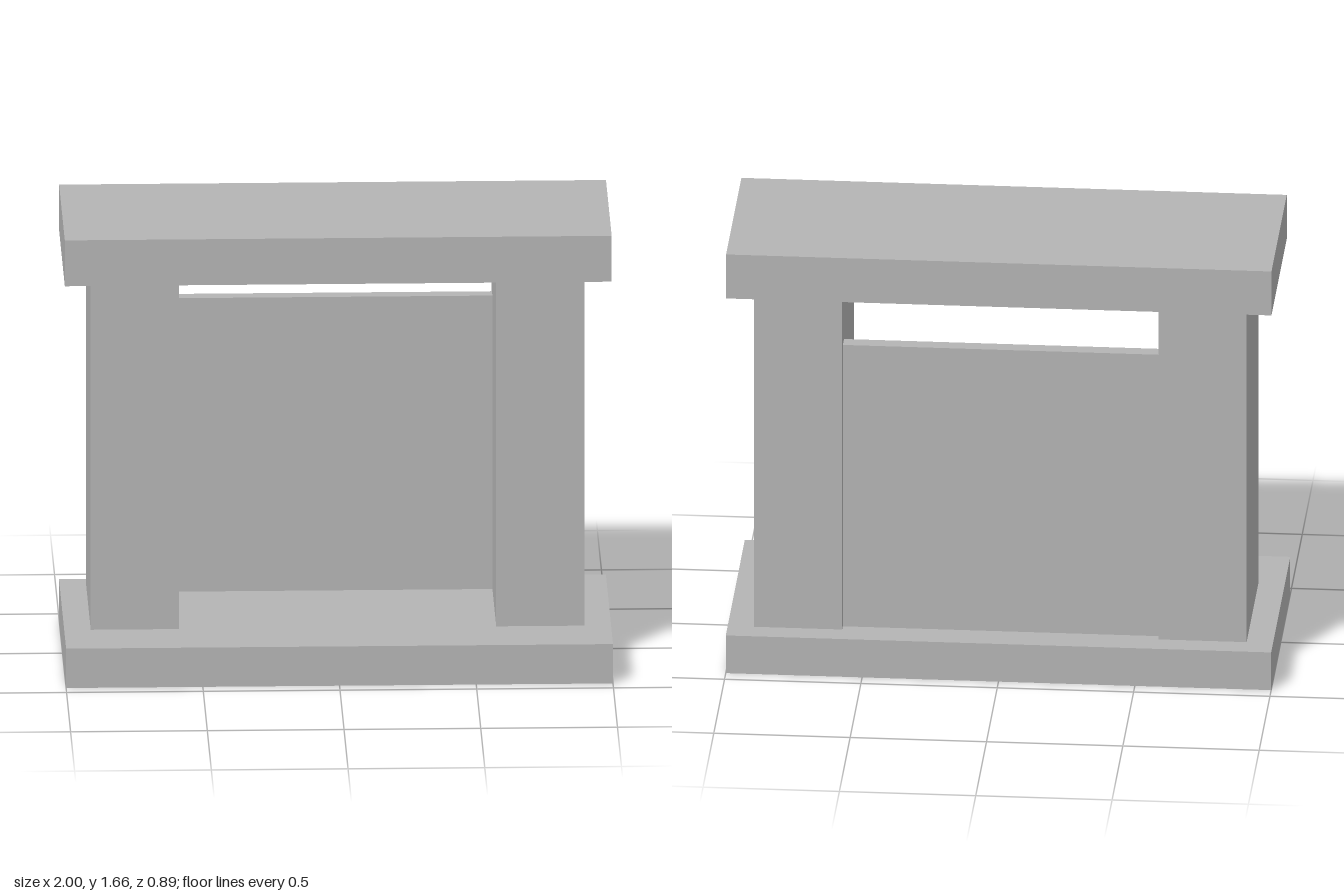
import * as THREE from 'three';

export function createModel() {
  const model = new THREE.Group();
  model.name = 'fireplaceSurround';
  const stone = new THREE.MeshStandardMaterial({ color: 0xb4b4b4 });
  stone.name = 'grey stone';

  // Adds a box given its extents along each axis
  const addBlock = (name, [x0, x1], [y0, y1], [z0, z1]) => {
    const mesh = new THREE.Mesh(new THREE.BoxGeometry(x1 - x0, y1 - y0, z1 - z0), stone);
    mesh.position.set((x0 + x1) / 2, (y0 + y1) / 2, (z0 + z1) / 2);
    mesh.name = name;
    model.add(mesh);
  };

  const baseTop = 0.15, shelfBottom = 1.485;

  // Hearth slab and the mantel shelf, set back from its front edge
  addBlock('hearth', [-1, 1], [0, baseTop], [-0.443, 0.443]);
  addBlock('mantelShelf', [-1, 1], [shelfBottom, 1.66], [-0.428, 0.282]);

  // Two square pillars
  addBlock('leftPillar', [0.58, 0.903], [baseTop, shelfBottom], [-0.355, 0.205]);
  addBlock('rightPillar', [-0.903, -0.58], [baseTop, shelfBottom], [-0.355, 0.205]);

  // Thin back wall, leaving a gap under the shelf
  addBlock('backPanel', [-0.58, 0.58], [baseTop, 1.27], [-0.325, -0.27]);

  return model;
}
